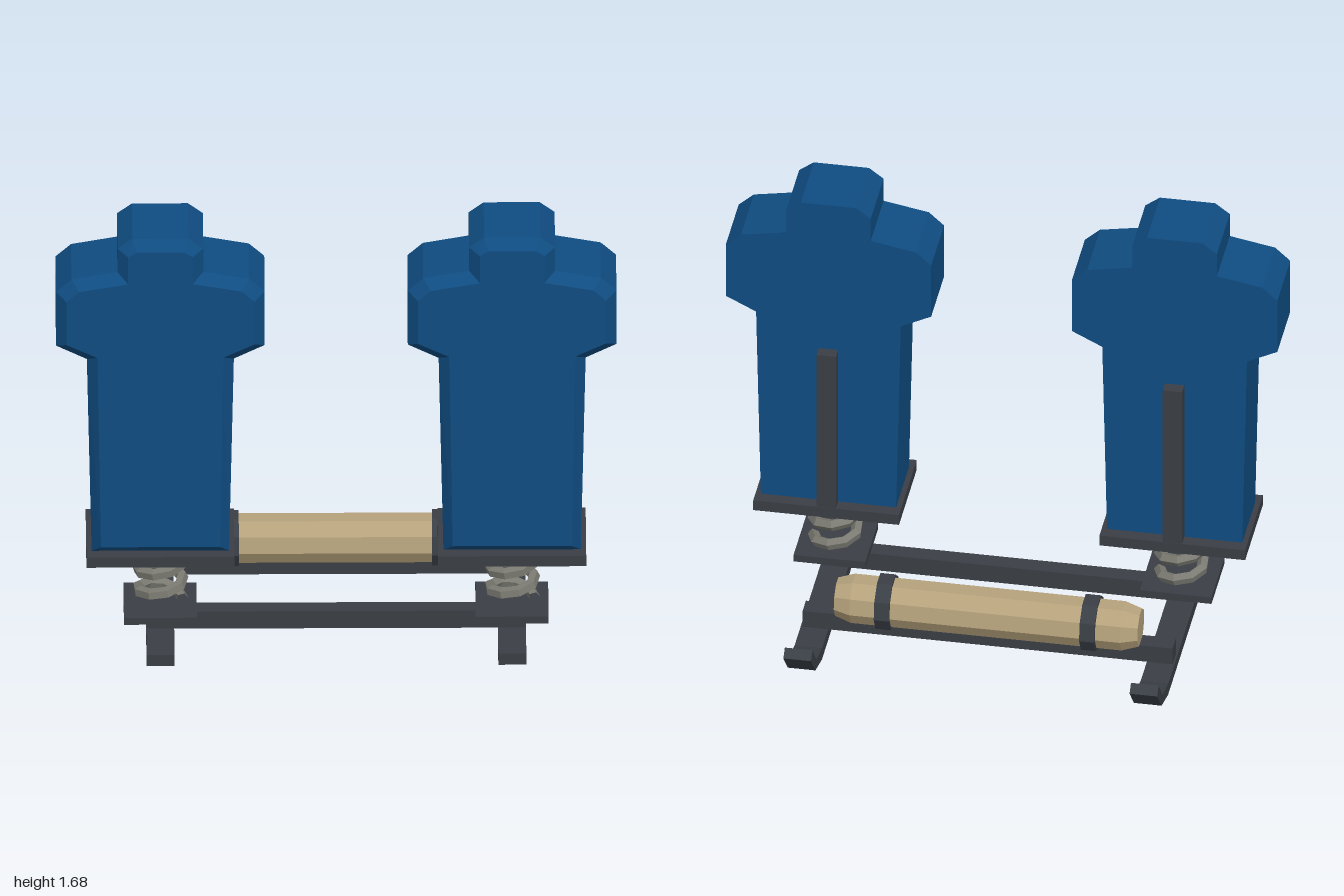
import * as THREE from 'three';

const mat = (name, color) => {
  const m = new THREE.MeshStandardMaterial({ color, flatShading: true });
  m.name = name;
  return m;
};

// Half outline of the padded figure: outer x, y and the bevelled front x, y
const HALF = [
  [0.245, 0.407, 0.212, 0.442],
  [0.262, 1.19, 0.225, 1.215],
  [0.372, 1.245, 0.335, 1.268],
  [0.372, 1.465, 0.335, 1.442],
  [0.317, 1.515, 0.29, 1.484],
  [0.153, 1.545, 0.115, 1.515],
  [0.153, 1.64, 0.115, 1.625],
  [0.1, 1.68, 0.085, 1.645],
];

// Lofts the outline from the flat back to the bevelled front
function padGeometry() {
  const ring = (k) => {
    const right = HALF.map((p) => new THREE.Vector2(p[k], p[k + 1]));
    const left = right.map((p) => new THREE.Vector2(-p.x, p.y)).reverse();
    return [...right, ...left];
  };
  const outer = ring(0), inner = ring(2);
  const sections = [[outer, 0.127], [outer, 0.386], [inner, 0.424]];
  const n = outer.length;
  const positions = [], index = [];
  for (const [points, z] of sections) for (const p of points) positions.push(p.x, p.y, z);
  for (let s = 0; s < 2; s++) {
    for (let i = 0; i < n; i++) {
      const j = (i + 1) % n;
      const a = s * n + i, b = s * n + j;
      index.push(a, b, b + n, a, b + n, a + n);
    }
  }
  for (const [a, b, c] of THREE.ShapeUtils.triangulateShape(outer, [])) index.push(a, c, b);
  for (const [a, b, c] of THREE.ShapeUtils.triangulateShape(inner, [])) {
    index.push(a + 2 * n, b + 2 * n, c + 2 * n);
  }
  const indexed = new THREE.BufferGeometry();
  indexed.setAttribute('position', new THREE.Float32BufferAttribute(positions, 3));
  indexed.setIndex(index);
  const geometry = indexed.toNonIndexed();
  geometry.computeVertexNormals();
  return geometry;
}

// Runner with an upturned rear tip; side profile given as z, y
function skidGeometry() {
  const profile = [
    [0.5, 0], [0.5, 0.045], [-0.275, 0.045], [-0.39, 0.073],
    [-0.47, 0.167], [-0.5, 0.14], [-0.41, 0.04], [-0.28, 0],
  ];
  const shape = new THREE.Shape(profile.map(([z, y]) => new THREE.Vector2(z, y)));
  return new THREE.ExtrudeGeometry(shape, { depth: 0.1, bevelEnabled: false })
    .rotateY(-Math.PI / 2)
    .translate(0.05, 0, 0);
}

class Helix extends THREE.Curve {
  getPoint(t, target = new THREE.Vector3()) {
    const a = t * Math.PI * 2 * 2.5;
    return target.set(0.08 * Math.cos(a), 0.152 + 0.203 * t, -0.08 * Math.sin(a));
  }
}

export function createModel() {
  const model = new THREE.Group();
  model.name = 'tacklingSled';
  const blue = mat('padBlue', 0x0f4c81);
  const dark = mat('frameGrey', 0x3a3f45);
  const steel = mat('springSteel', 0x7a7a72);
  const wood = mat('logWood', 0xb5a27c);

  const add = (parent, name, geometry, material, x = 0, y = 0, z = 0) => {
    const mesh = new THREE.Mesh(geometry, material);
    mesh.name = name;
    mesh.position.set(x, y, z);
    parent.add(mesh);
    return mesh;
  };
  const box = (parent, name, [x0, x1], [y0, y1], [z0, z1]) =>
    add(parent, name, new THREE.BoxGeometry(x1 - x0, y1 - y0, z1 - z0), dark,
      (x0 + x1) / 2, (y0 + y1) / 2, (z0 + z1) / 2);

  // Two identical stations: runner, spring and padded figure
  const pad = padGeometry();
  const skid = skidGeometry();
  const coil = new THREE.TubeGeometry(new Helix(), 22, 0.022, 5, false);
  for (const [side, x] of [['left', 0.627], ['right', -0.627]]) {
    const station = new THREE.Group();
    station.name = side + 'Station';
    station.position.x = x;
    model.add(station);
    add(station, 'skid', skid, dark);
    box(station, 'springBase', [-0.13, 0.13], [0.115, 0.143], [0.147, 0.405]);
    add(station, 'spring', coil, steel, 0, 0, 0.277);
    box(station, 'padPlate', [-0.264, 0.264], [0.365, 0.407], [0.08, 0.435]);
    box(station, 'backBrace', [-0.035, 0.035], [0.407, 1.06], [0.082, 0.127]);
    add(station, 'pad', pad, blue);
  }

  // Beams joining the runners
  box(model, 'frontBeam', [-0.675, 0.675], [0.045, 0.115], [0.245, 0.309]);
  box(model, 'rearBeam', [-0.67, 0.67], [0.045, 0.113], [-0.153, -0.087]);

  // Ballast log with tapered ends, strapped to the rear beam
  const logProfile = [[0, -0.55], [0.07, -0.55], [0.09, -0.49], [0.09, 0.49], [0.07, 0.55], [0, 0.55]]
    .map(([r, y]) => new THREE.Vector2(r, y));
  const log = new THREE.LatheGeometry(logProfile, 9, -Math.PI / 2).rotateZ(Math.PI / 2);
  add(model, 'log', log, wood, 0, 0.172, -0.125);
  const strap = new THREE.CylinderGeometry(0.102, 0.102, 0.055, 9, 1, false, -Math.PI / 2)
    .rotateZ(Math.PI / 2);
  for (const x of [-0.372, 0.372]) add(model, 'logStrap', strap, dark, x, 0.172, -0.125);

  return model;
}
